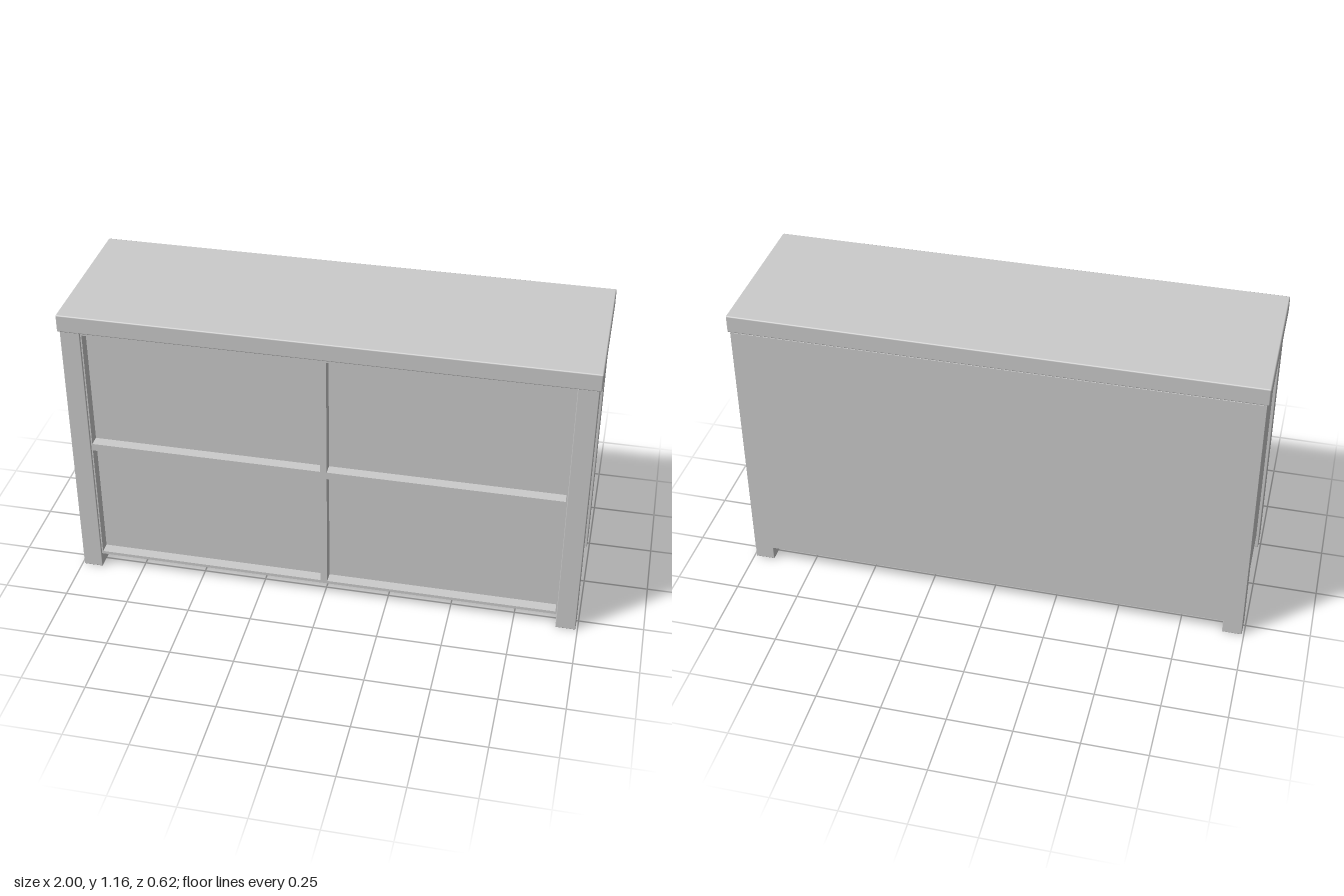
import * as THREE from 'three';
import { RoundedBoxGeometry } from 'three/addons/geometries/RoundedBoxGeometry.js';

const material = new THREE.MeshStandardMaterial({ color: 0xcccccc });

export function createModel() {
  const model = new THREE.Group();
  model.name = 'sideboard';

  const add = (name, geometry) => {
    const mesh = new THREE.Mesh(geometry, material);
    mesh.name = name;
    model.add(mesh);
    return mesh;
  };
  // Box given by its low and high corner; an optional bevel softens the edges
  const box = (name, [x0, x1], [y0, y1], [z0, z1], bevel = 0) => {
    const size = [x1 - x0, y1 - y0, z1 - z0];
    const geometry = bevel
      ? new RoundedBoxGeometry(...size, 1, bevel)
      : new THREE.BoxGeometry(...size);
    add(name, geometry).position.set((x0 + x1) / 2, (y0 + y1) / 2, (z0 + z1) / 2);
  };
  const span = (side, a, b) => (side > 0 ? [a, b] : [-b, -a]);

  // Top slab
  box('top', [-1, 1], [1.093, 1.163], [-0.312, 0.312], 0.005);

  // Legs and side panels, mirrored
  for (const side of [1, -1]) {
    const name = side > 0 ? 'left' : 'right';
    box(name + 'FrontLeg', span(side, 0.915, 0.992), [0, 1.093], [0.225, 0.305], 0.003);
    box(name + 'BackLeg', span(side, 0.915, 0.992), [0, 1.093], [-0.305, -0.225], 0.003);
    box(name + 'SidePanel', span(side, 0.935, 0.98), [0.06, 1.093], [-0.23, 0.23]);
  }

  // Back panel, covering the back legs
  box('backPanel', [-0.99, 0.99], [0.06, 1.09], [-0.308, -0.263]);

  // Drawer openings shared by the front frame and the drawers
  const columns = [[-0.91, -0.013], [0.013, 0.91]];
  const rows = [[0.072, 0.565], [0.595, 1.08]];

  const rectangle = (path, [x0, x1], [y0, y1]) =>
    path.moveTo(x0, y0).lineTo(x1, y0).lineTo(x1, y1).lineTo(x0, y1).closePath();
  const frame = rectangle(new THREE.Shape(), [-0.925, 0.925], [0.06, 1.093]);
  for (const column of columns) {
    for (const row of rows) {
      frame.holes.push(rectangle(new THREE.Path(), column, row));
      // Drawer body, its front set back in the frame
      box('drawer', column, row, [-0.14, 0.255]);
    }
  }

  // Front frame with rails and centre post
  const frameGeometry = new THREE.ExtrudeGeometry(frame, { depth: 0.045, bevelEnabled: false });
  add('frontFrame', frameGeometry).position.z = 0.253;

  return model;
}
